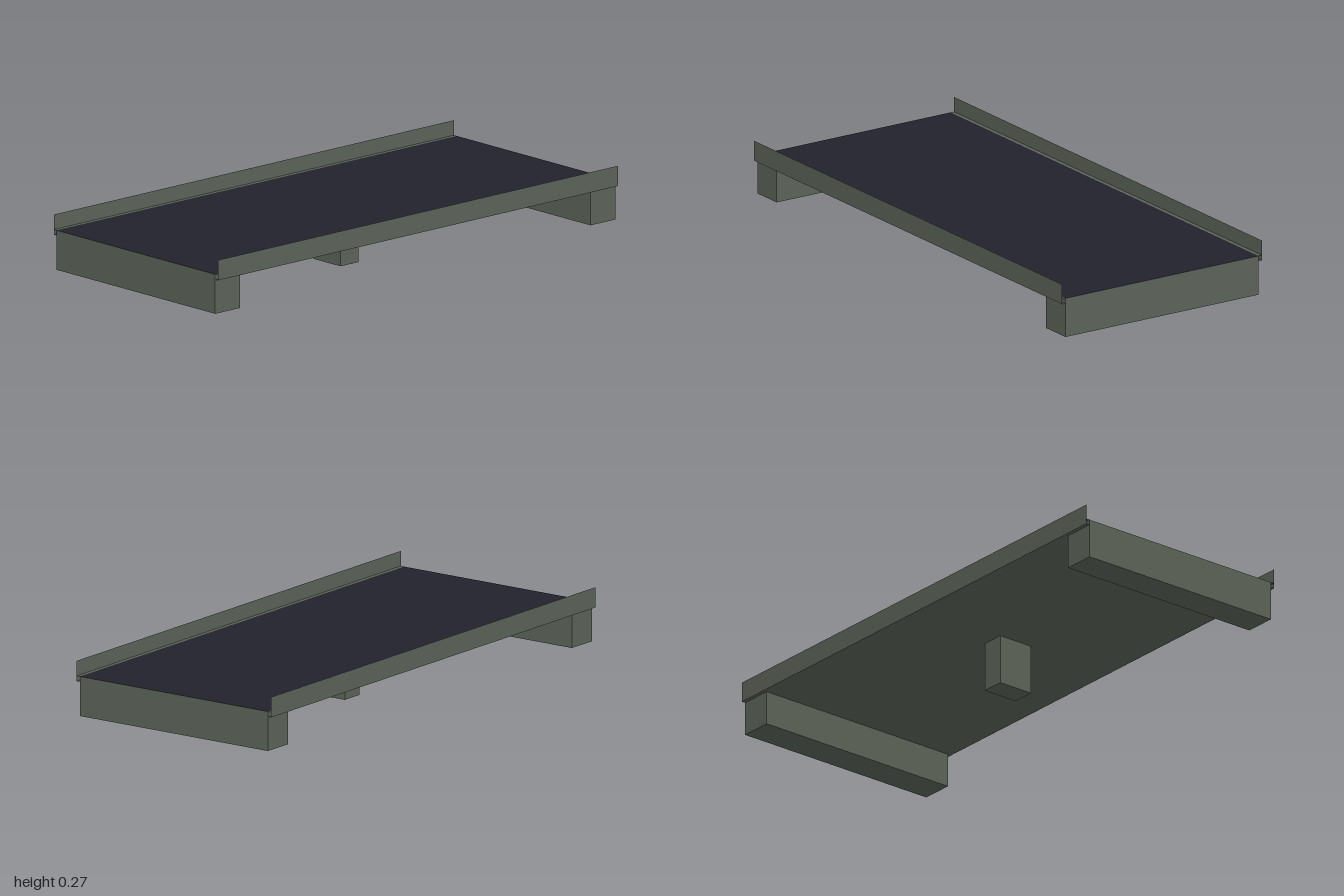
import * as THREE from 'three';

export function createModel() {
  const model = new THREE.Group();
  model.name = 'bridgeSection';

  const concrete = new THREE.MeshStandardMaterial({ color: 0x5c6358, side: THREE.DoubleSide });
  concrete.name = 'concrete';
  const asphalt = new THREE.MeshStandardMaterial({ color: 0x22222c });
  asphalt.name = 'asphalt';

  const add = (name, geometry, material, x, y, z) => {
    const mesh = new THREE.Mesh(geometry, material);
    mesh.name = name;
    mesh.position.set(x, y, z);
    model.add(mesh);
    return mesh;
  };

  // Deck slab: only its upper face is road surface
  const deckMaterials = [concrete, concrete, asphalt, concrete, concrete, concrete];
  add('deck', new THREE.BoxGeometry(2, 0.02, 0.86), deckMaterials, 0, 0.2, 0);

  // Cross beams under both ends
  for (const side of [1, -1]) {
    add(side > 0 ? 'leftEndBeam' : 'rightEndBeam',
      new THREE.BoxGeometry(0.125, 0.13, 0.86), concrete, side * 0.9375, 0.125, 0);
  }

  // Middle pier
  add('pier', new THREE.BoxGeometry(0.09, 0.19, 0.147), concrete, 0, 0.095, 0);

  // Thin parapets: an upright sheet joined to the deck by a narrow ledge, open at the ends
  for (const side of [1, -1]) {
    const end = side > 0 ? 'front' : 'back';
    const sheet = new THREE.PlaneGeometry(2, 0.077);
    if (side < 0) sheet.rotateY(Math.PI);
    add(end + 'Parapet', sheet, concrete, 0, 0.2285, side * 0.445);

    const ledge = new THREE.PlaneGeometry(2, 0.015).rotateX(-Math.PI / 2);
    add(end + 'Ledge', ledge, concrete, 0, 0.21, side * 0.4375);
    const soffit = new THREE.PlaneGeometry(2, 0.015).rotateX(Math.PI / 2);
    add(end + 'LedgeUnderside', soffit, concrete, 0, 0.19, side * 0.4375);
  }

  return model;
}
